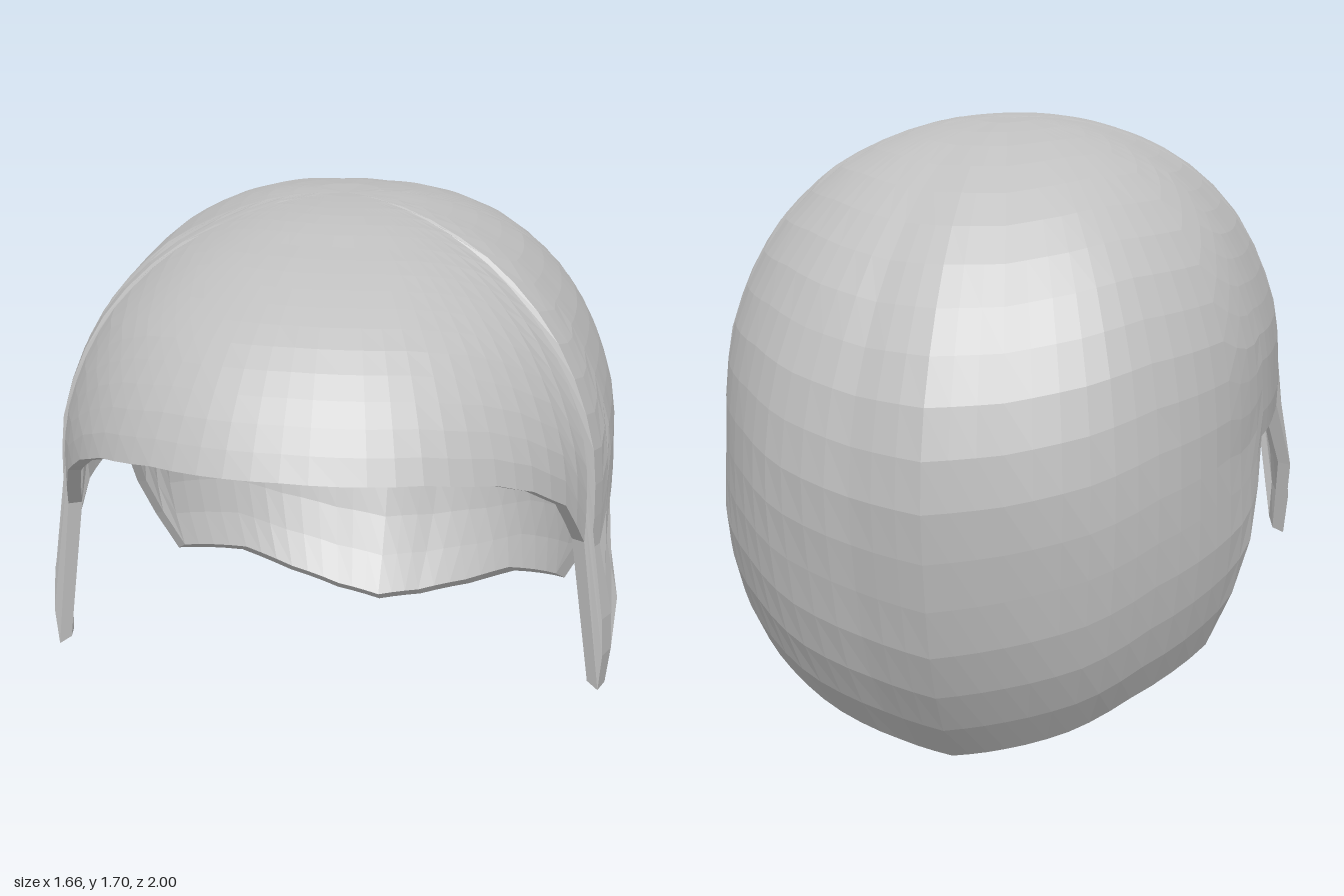
import * as THREE from 'three';

const CENTRE_Y = 0.83, THICKNESS = 0.04, ROWS = 18, FULLNESS = 2.2;
const rad = THREE.MathUtils.degToRad;

// Meridian profiles: [elevation in degrees, distance from the centre]
const FRONT = [[-27, 1], [0, 1], [13, 1.05], [22.8, 1.085], [31, 1.07], [40, 1.043], [52, 0.977], [64, 0.921], [81, 0.875], [90, 0.86]];
const SIDE = [[-50, 0.9], [-35, 0.9], [-15, 0.838], [-8, 0.807], [0, 0.79], [10, 0.802], [19, 0.825], [26, 0.836], [41, 0.864], [55, 0.877], [77, 0.873], [90, 0.86]];
const BACK = [[-50, 1.086], [-29, 1.043], [-15, 1.004], [0, 1], [13, 0.975], [24, 0.944], [40, 0.915], [56, 0.893], [77, 0.863], [90, 0.86]];

// Rim: [azimuth from the front, elevation]: visor, cheek strap, ear cutout, neck guard
const RIM = [[0, 22.8], [20.5, 22.3], [32.7, 20.7], [40.5, 18.2], [49.8, 13.2], [58.6, 2.7],
  [61.5, -25.7], [66.5, -27], [75.8, 0], [105.6, 0], [123.7, -34.7], [143, -38.8], [155, -44], [168, -48.1], [180, -49.9]];

// Raised side shell behind the visor seam, and the flat flanks of the back ridge
const SEAM = [[58.6, 0], [61.5, 0.012], [72, 0.012], [86, 0]];
const RIDGE = [[150, 0], [168, -0.025], [180, 0]];

function lookup(table, t) {
  if (t <= table[0][0]) return table[0][1];
  for (let i = 1; i < table.length; i++) {
    const [a, u] = table[i - 1], [b, v] = table[i];
    if (t <= b) return u + (v - u) * (t - a) / (b - a);
  }
  return table[table.length - 1][1];
}

// Superelliptical blend of the profiles, with seam, ridge and flared straps
function radius(az, el) {
  const along = lookup(az < 90 ? FRONT : BACK, el), across = lookup(SIDE, el);
  const c = Math.abs(Math.cos(rad(az))) / along, s = Math.sin(rad(az)) / across;
  // Plain ellipse at the crown, squarer towards the rim
  const n = 2 + (FULLNESS - 2) * THREE.MathUtils.clamp((75 - el) / 45, 0, 1);
  let r = (c ** n + s ** n) ** (-1 / n);
  r *= 1 + (lookup(SEAM, az) + lookup(RIDGE, az)) * Math.cos(rad(el)) ** 2;
  if (az < 90 && el < 0) r *= 1 + 0.085 * Math.min(1, -el / 26);
  return r;
}

function point(az, el, inset) {
  const a = Math.abs(az), r = radius(a, el) - inset, h = r * Math.cos(rad(el));
  return [h * Math.sin(rad(az)), CENTRE_Y + r * Math.sin(rad(el)), h * Math.cos(rad(az))];
}

// Column azimuths, including every rim corner, mirrored left and right
function columns() {
  const half = [0];
  for (let i = 1; i < RIM.length; i++) {
    const a = RIM[i - 1][0], b = RIM[i][0], n = Math.ceil((b - a) / 5);
    for (let k = 1; k <= n; k++) half.push(a + (b - a) * k / n);
  }
  return [...half.slice(1).reverse().map(a => -a), ...half];
}

// Surface through one column of points per azimuth
function loft(name, material, columnAt) {
  const cols = columns().map(columnAt), n = cols[0].length, index = [];
  for (let i = 0; i < cols.length - 1; i++) {
    for (let j = 0; j < n - 1; j++) {
      const a = i * n + j, d = a + n;
      index.push(a, a + 1, d + 1, a, d + 1, d);
    }
  }
  const geometry = new THREE.BufferGeometry();
  geometry.setAttribute('position', new THREE.Float32BufferAttribute(cols.flat(2), 3));
  geometry.setIndex(index);
  geometry.computeVertexNormals();
  const mesh = new THREE.Mesh(geometry, material);
  mesh.name = name;
  return mesh;
}

export function createModel() {
  const group = new THREE.Group();
  group.name = 'helmet';
  const grey = new THREE.MeshStandardMaterial({ color: 0xbfbfbf, flatShading: true });
  grey.name = 'light grey';

  // Crown to rim at one azimuth
  const meridian = (az, inset) => {
    const rim = lookup(RIM, Math.abs(az));
    return Array.from({ length: ROWS + 1 }, (_, j) => point(az, 90 + (rim - 90) * j / ROWS, inset));
  };

  group.add(
    loft('outerShell', grey, az => meridian(az, 0)),
    loft('innerLining', grey, az => meridian(az, THICKNESS).reverse()),
    loft('rimEdge', grey, az => {
      const rim = lookup(RIM, Math.abs(az));
      return [point(az, rim, 0), point(az, rim, THICKNESS)];
    }),
  );
  return group;
}
